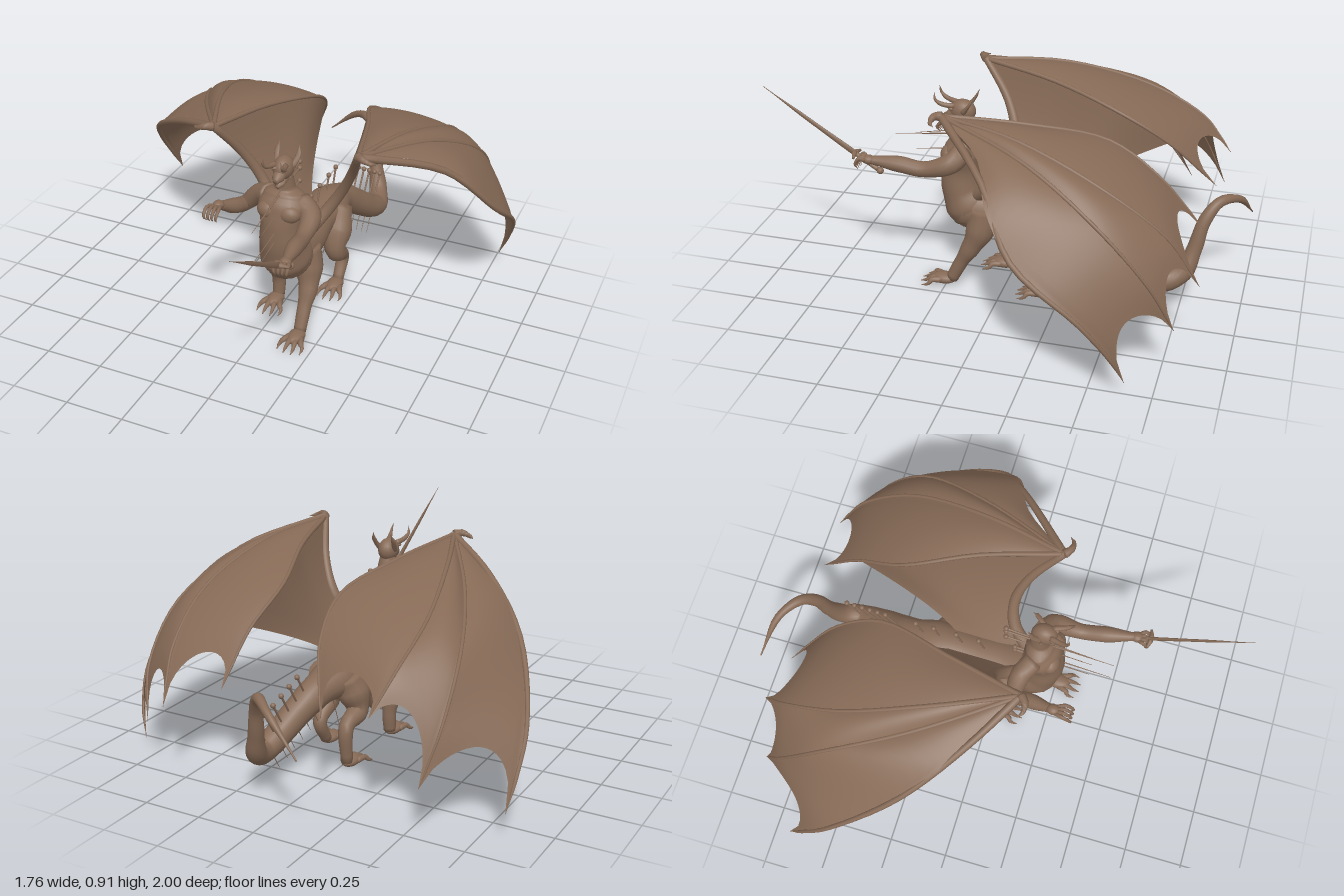
import * as THREE from 'three';

const V = (p) => new THREE.Vector3(p[0], p[1], p[2]);
const CX = 0.075; // spine line of the creature

export function createModel() {
  const model = new THREE.Group();
  const hide = new THREE.MeshStandardMaterial({ color: 0x866a56, side: THREE.DoubleSide });
  hide.name = 'brown hide';

  const add = (name, geometry, parent = model) => {
    const mesh = new THREE.Mesh(geometry, hide);
    mesh.name = name;
    parent.add(mesh);
    return mesh;
  };

  const part = (name) => {
    const g = new THREE.Group();
    g.name = name;
    model.add(g);
    return g;
  };

  // Grid surface from a rule; closed grids wrap in j
  const grid = (rows, cols, wrap, at) => {
    const pos = [], idx = [], n = wrap ? cols : cols + 1;
    for (let i = 0; i <= rows; i++) for (let j = 0; j < n; j++) pos.push(...at(i / rows, j / cols).toArray());
    for (let i = 0; i < rows; i++) for (let j = 0; j < cols; j++) {
      const a = i * n + j, b = i * n + ((j + 1) % n), c = a + n, d = b + n;
      idx.push(a, b, c, b, d, c);
    }
    const g = new THREE.BufferGeometry();
    g.setAttribute('position', new THREE.Float32BufferAttribute(pos, 3));
    g.setIndex(idx);
    g.computeVertexNormals();
    return g;
  };

  // Limb through points [x, y, z, radius across, radius deep]
  const limb = (pts, sides = 12, steps = 5) => {
    const curve = new THREE.CatmullRomCurve3(pts.map(V), false, 'centripetal');
    const last = pts.length - 1, rows = last * steps + 2;
    const radius = (t, k) => {
      const f = t * last, i = Math.min(Math.floor(f), last - 1), w = f - i;
      const r = (p) => p[k] ?? p[3];
      return THREE.MathUtils.lerp(r(pts[i]), r(pts[i + 1]), w * w * (3 - 2 * w));
    };
    return grid(rows, sides, true, (s, a) => {
      const i = Math.round(s * rows), t = Math.min(Math.max((i - 1) / (rows - 2), 0), 1);
      const cap = i === 0 || i === rows ? 0.01 : 1;
      const T = curve.getTangent(t);
      const u = new THREE.Vector3(1, 0, 0).addScaledVector(T, -T.x).normalize();
      const v = T.clone().cross(u);
      return curve.getPoint(t)
        .addScaledVector(u, Math.cos(a * 2 * Math.PI) * radius(t, 3) * cap)
        .addScaledVector(v, Math.sin(a * 2 * Math.PI) * radius(t, 4) * cap);
    });
  };

  const ball = (name, p, s, parent) => {
    const m = add(name, new THREE.SphereGeometry(1, 18, 12), parent);
    m.position.set(...p);
    m.scale.set(...s);
    return m;
  };

  // Lower body running into the curled tail
  add('bodyAndTail', limb([
    [CX, 0.37, 0.24, 0.05, 0.06], [CX, 0.36, 0.17, 0.11, 0.105], [CX, 0.345, 0, 0.1, 0.09],
    [CX, 0.355, -0.15, 0.085, 0.075], [CX, 0.355, -0.28, 0.095, 0.08], [0.09, 0.33, -0.4, 0.068],
    [0.125, 0.265, -0.5, 0.06], [0.155, 0.195, -0.6, 0.055], [0.165, 0.165, -0.68, 0.05],
    [0.14, 0.2, -0.76, 0.042], [0.11, 0.3, -0.8, 0.032], [0.085, 0.42, -0.83, 0.027],
    [0.04, 0.49, -0.88, 0.022], [-0.05, 0.47, -0.95, 0.016], [-0.2, 0.34, -1, 0.003],
  ], 18));

  // Upright torso and neck
  add('torso', limb([
    [CX, 0.32, 0.14, 0.1, 0.1], [CX, 0.37, 0.165, 0.112, 0.11], [CX, 0.44, 0.195, 0.1, 0.09],
    [CX, 0.53, 0.2, 0.092, 0.085], [CX, 0.61, 0.19, 0.108, 0.08], [CX, 0.66, 0.178, 0.09, 0.06],
    [CX, 0.695, 0.175, 0.042], [CX, 0.76, 0.185, 0.034],
  ], 18));
  for (const s of [-1, 1]) ball('chestMuscle', [CX + s * 0.045, 0.605, 0.235], [0.05, 0.04, 0.04]);

  // Head with brow, muzzle, jaw, horns and ears
  const head = part('head');
  ball('skull', [CX, 0.785, 0.19], [0.042, 0.05, 0.055], head);
  add('muzzle', limb([[CX, 0.785, 0.2, 0.036], [CX, 0.765, 0.24, 0.026, 0.022], [CX, 0.755, 0.268, 0.012]], 10), head);
  add('jaw', limb([[CX, 0.75, 0.19, 0.032], [CX, 0.73, 0.225, 0.022, 0.014], [CX, 0.722, 0.25, 0.007]], 10), head);
  for (const s of [-1, 1]) {
    add('horn', limb([[CX + s * 0.022, 0.81, 0.22, 0.012], [CX + s * 0.036, 0.82, 0.27, 0.01],
      [CX + s * 0.042, 0.84, 0.295, 0.006], [CX + s * 0.036, 0.87, 0.3, 0.001]], 8), head);
    add('ear', limb([[CX + s * 0.035, 0.79, 0.18, 0.012], [CX + s * 0.046, 0.83, 0.15, 0.012, 0.006],
      [CX + s * 0.042, 0.87, 0.13, 0.001]], 8), head);
    ball('brow', [CX + s * 0.022, 0.8, 0.232], [0.016, 0.009, 0.014], head);
  }

  // Legs: path of [y, z, radius] ending at the ankle, then a clawed paw
  const leg = (name, x, hipX, path) => {
    const g = part(name);
    const n = path.length - 1, [, az] = path[n];
    add('limb', limb(path.map(([y, z, r], i) => [THREE.MathUtils.lerp(hipX, x, Math.min(1, i / 2)), y, z, r])), g);
    ball('paw', [x, 0.026, az + 0.035], [0.036, 0.024, 0.055], g);
    for (let k = -1.5; k <= 1.5; k++) {
      const tx = x + k * 0.034, tz = az + 0.125 - Math.abs(k) * 0.015;
      add('toe', limb([[x + k * 0.016, 0.025, az + 0.04, 0.014], [x + k * 0.026, 0.028, az + 0.08, 0.012],
        [tx, 0.014, tz - 0.01, 0.008], [tx, 0.003, tz + 0.02, 0.002]], 8, 3), g);
    }
  };
  leg('leftForeleg', 0.165, 0.135, [[0.37, 0.09, 0.06], [0.28, 0.1, 0.062], [0.2, 0.135, 0.042], [0.12, 0.18, 0.03], [0.03, 0.225, 0.027]]);
  leg('rightForeleg', -0.03, 0.015, [[0.37, 0.08, 0.06], [0.28, 0.05, 0.062], [0.19, 0.02, 0.042], [0.11, 0.005, 0.03], [0.03, 0.01, 0.027]]);
  leg('leftHindLeg', 0.165, 0.135, [[0.37, -0.27, 0.06], [0.29, -0.2, 0.072], [0.21, -0.16, 0.045], [0.13, -0.25, 0.03], [0.03, -0.2, 0.025]]);
  leg('rightHindLeg', -0.03, 0.015, [[0.37, -0.28, 0.06], [0.3, -0.26, 0.07], [0.225, -0.27, 0.045], [0.19, -0.36, 0.032], [0.03, -0.36, 0.025]]);

  // Arms with curled clawed fingers
  const arm = (name, path, reach) => {
    const g = part(name);
    add('limb', limb(path), g);
    const h = V(path[path.length - 1]);
    ball('palm', h.toArray(), [0.024, 0.02, 0.028], g);
    for (let k = -1.5; k <= 1.5; k++) add('finger', limb([
      [h.x + k * 0.01, h.y, h.z + 0.01, 0.009], [h.x + k * 0.018, h.y + 0.012, h.z + reach * 0.6, 0.008],
      [h.x + k * 0.018, h.y - 0.015, h.z + reach, 0.006], [h.x + k * 0.014, h.y - 0.04, h.z + reach * 0.8, 0.001]], 7, 3), g);
  };
  arm('leftArm', [[0.14, 0.635, 0.17, 0.045], [0.2, 0.6, 0.205, 0.045], [0.215, 0.565, 0.32, 0.033],
    [0.225, 0.58, 0.42, 0.034], [0.245, 0.595, 0.55, 0.018]], 0.05);
  arm('rightArm', [[0.01, 0.635, 0.17, 0.045], [-0.06, 0.6, 0.13, 0.043], [-0.125, 0.54, 0.13, 0.033],
    [-0.14, 0.56, 0.2, 0.033], [-0.165, 0.61, 0.3, 0.018]], 0.08);

  // Sword held in the left hand
  const sword = part('sword');
  add('grip', limb([[0.245, 0.555, 0.51, 0.01], [0.245, 0.615, 0.605, 0.01]], 8), sword);
  ball('pommel', [0.245, 0.55, 0.5], [0.015, 0.015, 0.015], sword);
  add('guard', limb([[0.205, 0.613, 0.6, 0.006], [0.245, 0.618, 0.608, 0.012], [0.285, 0.613, 0.6, 0.006]], 8), sword);
  add('blade', limb([[0.245, 0.615, 0.605, 0.005, 0.014], [0.243, 0.74, 0.8, 0.004, 0.01], [0.24, 0.87, 1, 0.001]], 6), sword);

  // Thin spines with a knob at the back end, passing through chest, back and tail
  const spine = (a, b) => {
    const g = part('spine');
    add('shaft', limb([[...a, 0.005], [...b, 0.001]], 6, 1), g);
    ball('knob', a, [0.011, 0.011, 0.011], g);
  };
  [[0.73, 0.66], [0.7, 0.645], [0.64, 0.585], [0.55, 0.5], [0.52, 0.465]].forEach(([y0, y1], i) =>
    spine([CX, y0, i < 3 ? 0.03 : 0.07], [CX, y1, 0.4 + (i % 2) * 0.09]));
  for (const z of [-0.03, -0.13, -0.23, -0.31]) spine([CX, 0.5, z - 0.06], [CX, 0.12, z + 0.07]);
  for (let i = 0; i < 6; i++) {
    const x = 0.1 + i * 0.011, z = -0.43 - i * 0.042, y = 0.315 - i * 0.027;
    spine([x, y + 0.12, z - 0.09], [x, y - 0.125, z + 0.06]);
  }

  // Wings: four fingers fan from the wrist, membrane sags between them
  const wing = (name, wrist, fingers, elbow, root, side) => {
    const g = part(name);
    const curves = fingers.map((f) => new THREE.CatmullRomCurve3([wrist, ...f].map(V), false, 'centripetal'));
    curves.forEach((c, k) => {
      const pts = [0, 0.25, 0.5, 0.75, 0.9, 1].map((t) =>
        [...c.getPoint(t).toArray(), t === 1 ? 0.001 : (k ? 0.011 : 0.017) * (1 - t * 0.6)]);
      add('wingFinger', limb(pts, 8), g);
      if (k === 3) return;
      add('membrane', grid(24, 14, false, (u, v) => {
        const bow = 4 * v * (1 - v);
        const t = u * (1 - 0.17 * Math.pow(bow, 0.55));
        const p = c.getPoint(t).lerp(curves[k + 1].getPoint(t), v);
        p.y += 0.022 * bow * Math.sin(Math.PI * Math.min(1, u * 0.8));
        return p;
      }), g);
    });

    // Inner web running from the last finger down to the back
    const fold = (s, v) => {
      const top = curves[3].getPoint(s * 0.74);
      const base = V(root).add(new THREE.Vector3(0, 0.01 * s, -0.34 * s));
      const mid = V(elbow).lerp(new THREE.Vector3(CX + side * 0.1, 0.52, -0.32), s);
      return new THREE.QuadraticBezierCurve3(top, mid, base).getPoint(v);
    };
    add('innerWeb', grid(14, 14, false, fold), g);
    add('wingArm', limb([0, 0.25, 0.5, 0.75, 1].map((v) => [...fold(0, v).toArray(), 0.016 + 0.014 * v])), g);

    // Thumb claw on the wrist
    const [x, y, z] = wrist;
    add('thumbClaw', limb([[x, y, z, 0.02], [x + side * 0.025, y + 0.005, z + 0.022, 0.015],
      [x + side * 0.06, y - 0.005, z + 0.025, 0.009], [x + side * 0.085, y - 0.01, z + 0.005, 0.001]], 8), g);
  };

  wing('rightWing', [-0.24, 0.895, 0.18], [
    [[-0.42, 0.82, 0.06], [-0.6, 0.735, -0.07], [-0.78, 0.53, -0.3], [-0.865, 0.36, -0.5], [-0.865, 0.14, -0.66]],
    [[-0.47, 0.79, -0.2], [-0.62, 0.66, -0.55], [-0.64, 0.46, -0.73], [-0.605, 0.256, -0.84]],
    [[-0.37, 0.865, -0.15], [-0.46, 0.76, -0.5], [-0.46, 0.64, -0.74], [-0.42, 0.5, -0.87]],
    [[-0.15, 0.86, -0.15], [-0.06, 0.785, -0.45], [-0.09, 0.66, -0.65], [-0.205, 0.437, -0.84]],
  ], [-0.11, 0.57, -0.12], [0.03, 0.42, 0.13], -1);
  wing('leftWing', [0.385, 0.895, 0.18], [
    [[0.57, 0.82, -0.02], [0.75, 0.716, -0.1], [0.84, 0.56, -0.22], [0.872, 0.43, -0.4], [0.845, 0.265, -0.56], [0.78, 0.075, -0.645]],
    [[0.56, 0.82, -0.2], [0.68, 0.66, -0.5], [0.69, 0.45, -0.7], [0.635, 0.24, -0.8]],
    [[0.47, 0.865, -0.15], [0.54, 0.74, -0.5], [0.53, 0.57, -0.74], [0.495, 0.36, -0.87]],
    [[0.3, 0.86, -0.15], [0.2, 0.785, -0.45], [0.22, 0.66, -0.66], [0.235, 0.47, -0.84]],
  ], [0.25, 0.57, -0.12], [0.12, 0.42, 0.13], 1);

  return model;
}
